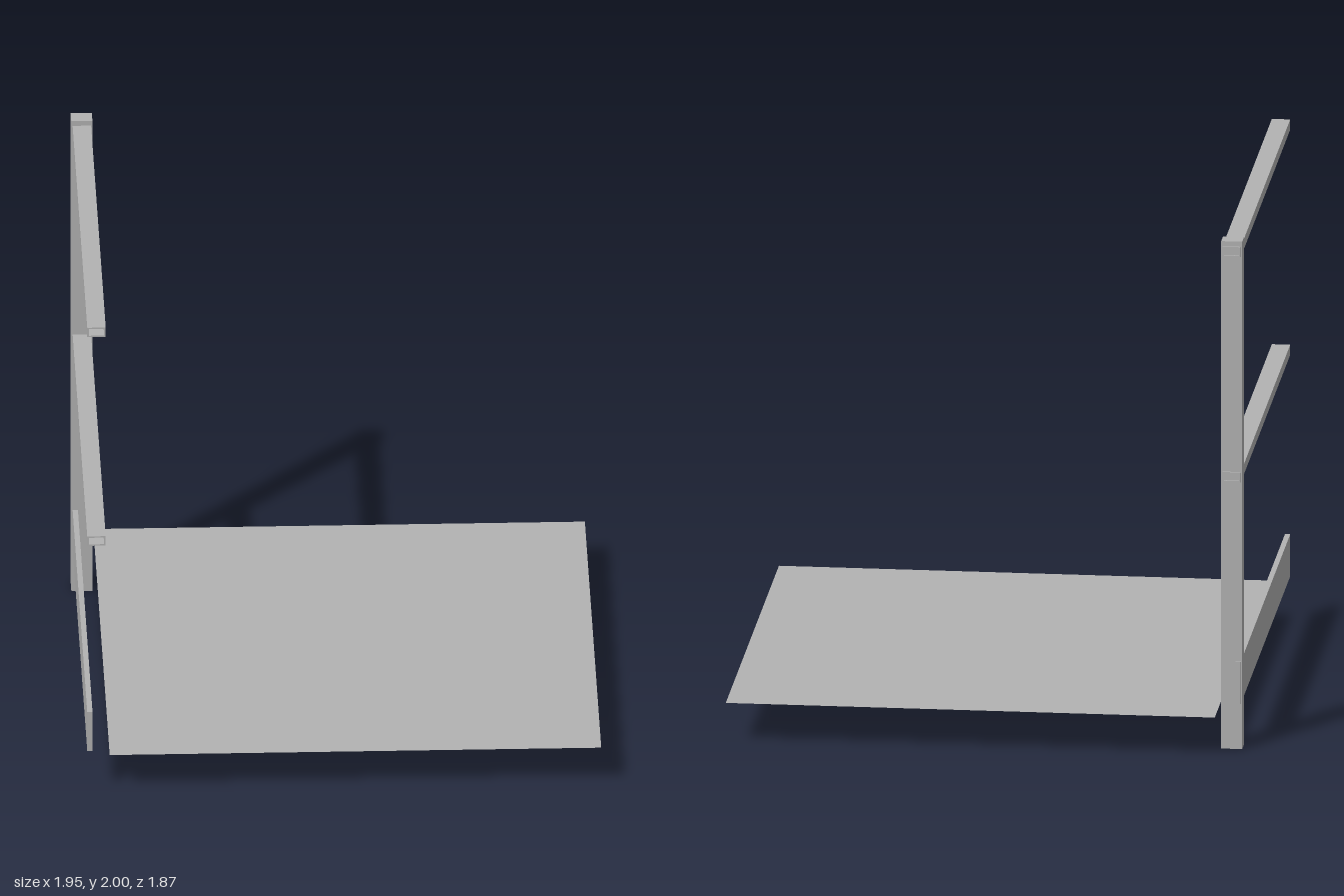
import * as THREE from 'three';

const steel = new THREE.MeshStandardMaterial({ color: 0xb2b2b2, side: THREE.DoubleSide });
steel.name = 'grey steel';

const WALL = 0.006;

function rectangle(target, w, h) {
  target.moveTo(-w / 2, -h / 2);
  target.lineTo(w / 2, -h / 2);
  target.lineTo(w / 2, h / 2);
  target.lineTo(-w / 2, h / 2);
  target.closePath();
  return target;
}

// Hollow rectangular tube running along +z from the origin
function tube(w, h, length) {
  const shape = rectangle(new THREE.Shape(), w, h);
  shape.holes.push(rectangle(new THREE.Path(), w - 2 * WALL, h - 2 * WALL));
  return new THREE.ExtrudeGeometry(shape, { depth: length, bevelEnabled: false });
}

export function createModel() {
  const group = new THREE.Group();
  const add = (name, geometry, x, y, z) => {
    const mesh = new THREE.Mesh(geometry, steel);
    mesh.name = name;
    mesh.position.set(x, y, z);
    group.add(mesh);
  };

  const back = -0.81, front = 0.937, length = front - back;

  // Upright post, open at the foot and closed by a cap
  add('post', tube(0.08, 0.066, 1.99).rotateX(-Math.PI / 2), -0.935, 0, -0.77);
  add('postCap', new THREE.BoxGeometry(0.08, 0.01, 0.066), -0.935, 1.995, -0.77);

  // Two hollow rails passing through the post
  add('topRail', tube(0.07, 0.04, length), -0.935, 1.96, back);
  add('middleRail', tube(0.07, 0.04, length), -0.935, 1.072, back);

  // Toe board along the outer side
  add('toeBoard', new THREE.BoxGeometry(0.02, 0.166, length), -0.96, 0.262, (front + back) / 2);

  // Flat floor sheet
  add('floor', new THREE.PlaneGeometry(1.862, 1.874).rotateX(-Math.PI / 2), 0.046, 0.16, 0);

  return group;
}
